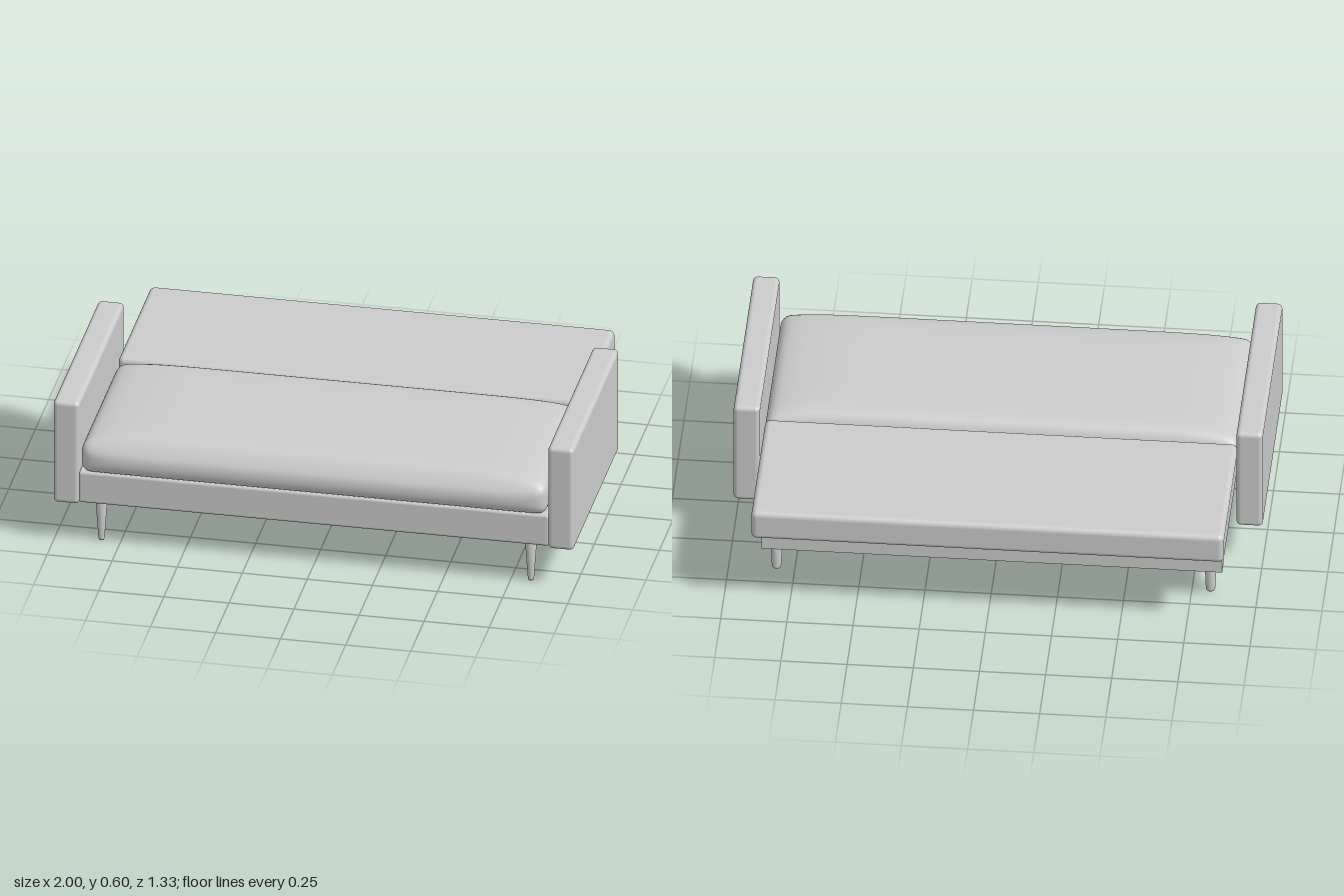
import * as THREE from 'three';
import { RoundedBoxGeometry } from 'three/addons/geometries/RoundedBoxGeometry.js';

const material = new THREE.MeshStandardMaterial({ color: 0xcccccc });

function addMesh(parent, name, geometry, x = 0, y = 0, z = 0) {
  const mesh = new THREE.Mesh(geometry, material);
  mesh.name = name;
  mesh.position.set(x, y, z);
  parent.add(mesh);
  return mesh;
}

// Box given by its limits; a radius rounds its edges
function addBlock(parent, name, [x0, x1], [y0, y1], [z0, z1], radius = 0) {
  const size = [x1 - x0, y1 - y0, z1 - z0];
  const geometry = radius
    ? new RoundedBoxGeometry(...size, 4, radius)
    : new THREE.BoxGeometry(...size);
  return addMesh(parent, name, geometry, (x0 + x1) / 2, (y0 + y1) / 2, (z0 + z1) / 2);
}

// Soft cushion: rounded box with a crowned top and a bulging front
function cushionGeometry(w, h, d, radius, crown, bulge) {
  const geometry = new THREE.BoxGeometry(2, 2, 2, 48, 16, 36);
  const pos = geometry.attributes.position;
  const normal = geometry.attributes.normal;
  const half = new THREE.Vector3(w / 2, h / 2, d / 2);
  const core = half.clone().subScalar(radius);
  const p = new THREE.Vector3();
  const inner = new THREE.Vector3();

  const place = (a, b, c, target) => {
    // pack the grid lines towards the edges, then round them
    p.set(a, b, c);
    for (const k of ['x', 'y', 'z']) p[k] = Math.sin(p[k] * Math.PI / 2) * half[k];
    inner.copy(p).clamp(core.clone().negate(), core);
    p.sub(inner).normalize().multiplyScalar(radius).add(inner);
    const u = p.x / half.x, v = p.y / half.y, t = p.z / half.z;
    const fx = 1 - Math.abs(u) ** 10, fz = 1 - Math.abs(t) ** 10;
    if (v > 0) p.y += crown * v * fx * fz;
    if (t > 0) p.z += bulge * t ** 6 * (1 - v * v) * (1 - Math.abs(u) ** 12);
    return target.copy(p);
  };

  const out = new THREE.Vector3();
  for (let i = 0; i < pos.count; i++) {
    place(pos.getX(i), pos.getY(i), pos.getZ(i), out);
    pos.setXYZ(i, out.x, out.y, out.z);
  }
  geometry.computeVertexNormals();

  // share normals across the seams between the six sides
  const sums = new Map();
  const key = i => [pos.getX(i), pos.getY(i), pos.getZ(i)].map(n => Math.round(n * 1e4)).join();
  for (let i = 0; i < pos.count; i++) {
    const k = key(i);
    if (!sums.has(k)) sums.set(k, new THREE.Vector3());
    sums.get(k).add(out.fromBufferAttribute(normal, i));
  }
  for (let i = 0; i < pos.count; i++) {
    out.copy(sums.get(key(i))).normalize();
    normal.setXYZ(i, out.x, out.y, out.z);
  }
  return geometry;
}

// Turned leg with a softened foot
function legGeometry(bottom, top, height) {
  const points = [
    [0, 0], [bottom * 0.75, 0], [bottom * 0.95, 0.004], [bottom, 0.012],
    [top, height], [0, height],
  ].map(([r, y]) => new THREE.Vector2(r, y));
  return new THREE.LatheGeometry(points, 24);
}

export function createModel() {
  const sofa = new THREE.Group();
  sofa.name = 'sofaBed';

  // Seat and folded-down backrest
  addMesh(sofa, 'seatCushion', cushionGeometry(1.79, 0.125, 0.695, 0.04, 0.04, 0.022), 0, 0.3625, 0.297);
  addBlock(sofa, 'backCushion', [-0.893, 0.893], [0.315, 0.438], [-0.667, -0.055], 0.022);

  // Front rail between the arms
  addBlock(sofa, 'frontRail', [-0.905, 0.905], [0.17, 0.302], [0.5, 0.63], 0.012);

  // Storage base under the rear half
  addBlock(sofa, 'baseBox', [-0.868, 0.868], [0.14, 0.312], [-0.41, 0.1]);
  addBlock(sofa, 'baseFrontLip', [-0.868, 0.868], [0.146, 0.31], [0.09, 0.152], 0.01);
  addBlock(sofa, 'baseBackPanel', [-0.87, 0.87], [0.132, 0.312], [-0.47, -0.405]);

  // Arms and legs, mirrored left and right
  const frontLeg = legGeometry(0.012, 0.023, 0.172);
  const baseLeg = legGeometry(0.018, 0.023, 0.142);
  for (const [side, s] of [['left', 1], ['right', -1]]) {
    const limits = s > 0 ? [0.9, 1] : [-1, -0.9];
    addBlock(sofa, side + 'Arm', limits, [0.165, 0.595], [-0.215, 0.64], 0.018);
    addMesh(sofa, side + 'FrontLeg', frontLeg, s * 0.825, 0, 0.582);
    addMesh(sofa, side + 'MiddleLeg', baseLeg, s * 0.82, 0, 0.108);
    addMesh(sofa, side + 'BackLeg', baseLeg, s * 0.82, 0, -0.4);
  }
  return sofa;
}
